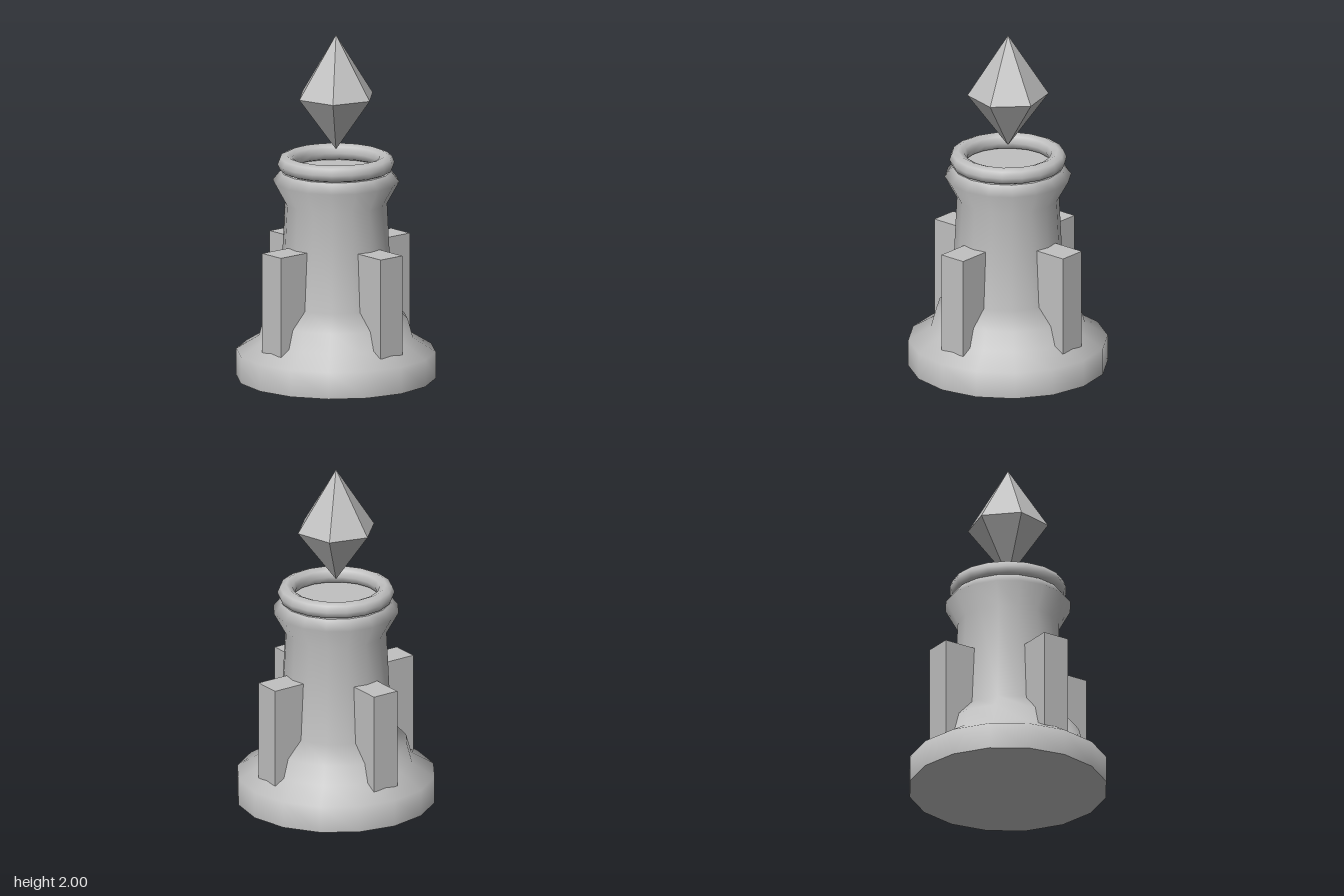
import * as THREE from 'three';

export function createModel() {
  const group = new THREE.Group();
  const stone = new THREE.MeshStandardMaterial({ color: 0xc0c0c0 });
  stone.name = 'greyStone';
  const crystalMat = new THREE.MeshStandardMaterial({ color: 0xc0c0c0, flatShading: true });
  crystalMat.name = 'greyCrystal';

  const add = (name, geometry, material, x = 0, y = 0, z = 0) => {
    const mesh = new THREE.Mesh(geometry, material);
    mesh.name = name;
    mesh.position.set(x, y, z);
    group.add(mesh);
    return mesh;
  };
  const sides = 16;

  // Tower: wide foot, stepped skirt, slim shaft and flared collar
  const profile = [
    [0.57, 0], [0.57, 0.155], [0.44, 0.235], [0.41, 0.345], [0.32, 0.44],
    [0.292, 1.02], [0.362, 1.147], [0.315, 1.205],
  ].map(([r, y]) => new THREE.Vector2(r, y));
  add('tower', new THREE.LatheGeometry(profile, sides), stone);

  // Flat caps closing the tower, turned to match its corners
  const cap = (radius) => new THREE.CircleGeometry(radius, sides).rotateX(-Math.PI / 2);
  add('towerTop', cap(0.315), stone, 0, 1.205, 0);
  add('towerBottom', cap(0.57).rotateX(Math.PI), stone);

  // Rounded rim
  const rim = new THREE.TorusGeometry(0.285, 0.05, 8, 18);
  rim.rotateX(Math.PI / 2).rotateY(Math.PI / 2);
  add('rim', rim, stone, 0, 1.25, 0);

  // Four diagonal buttresses
  for (let i = 0; i < 4; i++) {
    const angle = Math.PI / 4 + (i * Math.PI) / 2;
    const buttress = add('buttress', new THREE.BoxGeometry(0.163, 0.58, 0.245), stone,
      Math.sin(angle) * 0.3625, 0.49, Math.cos(angle) * 0.3625);
    buttress.rotation.y = angle;
  }

  // Floating six-sided crystal, made of two cones base to base
  const crystal = new THREE.Group();
  crystal.name = 'crystal';
  const upper = add('crystalUpper', new THREE.ConeGeometry(0.232, 0.36, 6, 1, true), crystalMat, 0, 1.82, 0);
  const lower = add('crystalLower', new THREE.CylinderGeometry(0.232, 0, 0.31, 6, 1, true), crystalMat, 0, 1.485, 0);
  crystal.add(upper, lower);
  group.add(crystal);

  return group;
}
